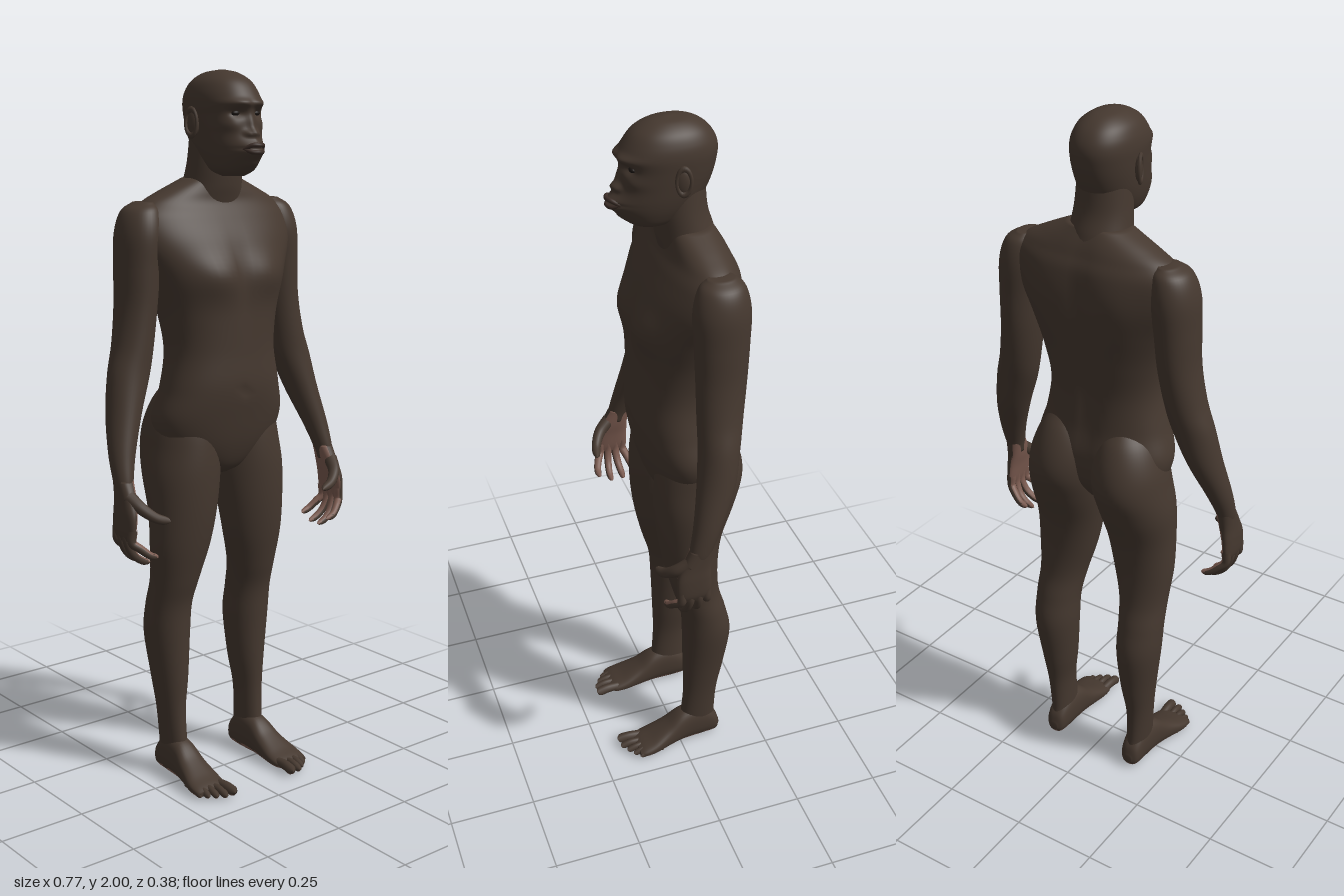
import * as THREE from 'three';

const skin = new THREE.MeshStandardMaterial({ color: 0x45382f });
skin.name = 'skin';
const palmSkin = new THREE.MeshStandardMaterial({ color: 0x7a5a4f });
palmSkin.name = 'palm and sole skin';
const eyeDark = new THREE.MeshStandardMaterial({ color: 0x1c1613 });
eyeDark.name = 'dark eye';
const lipSkin = new THREE.MeshStandardMaterial({ color: 0x3b2d27 });
lipSkin.name = 'lip';

// Smooth loft along y or z; row = [position, centre x, half width, low edge, high edge]
function loft(rows, { axis = 'y', power = 2, steps = 48, sides = 40 } = {}) {
  const a = new THREE.CatmullRomCurve3(rows.map(r => new THREE.Vector3(r[0], r[1], r[2])), false, 'catmullrom', 0.5);
  const b = new THREE.CatmullRomCurve3(rows.map(r => new THREE.Vector3(r[3], r[4], 0)), false, 'catmullrom', 0.5);
  const pos = [], index = [];
  const bend = v => Math.sign(v) * Math.abs(v) ** (2 / power);
  for (let i = -1; i <= steps + 1; i++) {
    const t = Math.min(Math.max(i / steps, 0), 1);
    const k = i < 0 || i > steps ? 0 : 1; // collapsed end rings close the shape
    const p = a.getPoint(t), q = b.getPoint(t);
    for (let j = 0; j < sides; j++) {
      const w = (j / sides) * Math.PI * 2;
      const x = p.y + k * p.z * bend(Math.cos(w));
      const v = (q.x + q.y) / 2 + (k * (q.y - q.x) / 2) * bend(Math.sin(w));
      pos.push(...(axis === 'y' ? [x, p.x, v] : [x, v, p.x]));
    }
  }
  for (let i = 0; i < steps + 2; i++) for (let j = 0; j < sides; j++) {
    const m = i * sides + j, n = i * sides + ((j + 1) % sides), o = m + sides, r = n + sides;
    if (axis === 'z') index.push(m, n, r, m, r, o);
    else index.push(m, r, n, m, o, r);
  }
  const geo = new THREE.BufferGeometry();
  geo.setAttribute('position', new THREE.Float32BufferAttribute(pos, 3));
  geo.setIndex(index);
  geo.computeVertexNormals();
  return geo;
}

// Push a front (+1) or back (-1) surface out by soft mirrored bumps [x, y, spread x, spread y, height]
function sculpt(geo, side, start, bumps) {
  const p = geo.attributes.position;
  for (let i = 0; i < p.count; i++) {
    const x = Math.abs(p.getX(i)), y = p.getY(i), z = p.getZ(i);
    const weight = THREE.MathUtils.smoothstep(side * z, start, start + 0.06);
    let d = 0;
    for (const [bx, by, sx, sy, h] of bumps) d += h * Math.exp(-(((x - bx) / sx) ** 2) - ((y - by) / sy) ** 2);
    p.setZ(i, z + side * d * weight);
  }
  geo.computeVertexNormals();
  return geo;
}

// Tapered finger or toe with a rounded tip
function digit(points, r0, r1) {
  const curve = new THREE.CatmullRomCurve3(points.map(p => new THREE.Vector3(...p)));
  const steps = 20, sides = 12, geo = new THREE.TubeGeometry(curve, steps, 1, sides, false);
  const p = geo.attributes.position, v = new THREE.Vector3();
  for (let i = 0; i <= steps; i++) {
    const t = i / steps, c = curve.getPointAt(t);
    const tip = t > 0.8 ? Math.sqrt(Math.max(0, 1 - ((t - 0.8) / 0.2) ** 2)) : 1;
    for (let j = 0; j <= sides; j++) {
      const k = i * (sides + 1) + j;
      v.fromBufferAttribute(p, k).sub(c).multiplyScalar((r0 + (r1 - r0) * t) * tip).add(c);
      p.setXYZ(k, v.x, v.y, v.z);
    }
  }
  return geo;
}

// Split faces into two material groups by their normal
function twoTone(geo, test) {
  const p = geo.attributes.position, lists = [[], []], src = geo.index.array;
  const tri = new THREE.Triangle(), n = new THREE.Vector3();
  for (let i = 0; i < src.length; i += 3) {
    tri.setFromAttributeAndIndices(p, src[i], src[i + 1], src[i + 2]);
    tri.getNormal(n);
    lists[test(n) ? 1 : 0].push(src[i], src[i + 1], src[i + 2]);
  }
  geo.setIndex([...lists[0], ...lists[1]]);
  geo.addGroup(0, lists[0].length, 0);
  geo.addGroup(lists[0].length, lists[1].length, 1);
  return geo;
}

function mirrored(geo) {
  const g = geo.clone().scale(-1, 1, 1), ix = g.index.array;
  for (let i = 0; i < ix.length; i += 3) [ix[i + 1], ix[i + 2]] = [ix[i + 2], ix[i + 1]];
  return g;
}

export function createModel() {
  const model = new THREE.Group();
  model.name = 'figure';
  const add = (name, geo, mat = skin) => {
    const m = new THREE.Mesh(geo, mat);
    m.name = name;
    model.add(m);
  };
  const pair = (name, geo, mat = skin) => {
    add('left' + name, geo, mat);
    add('right' + name, mirrored(geo), mat);
  };

  // Torso with chest, spine groove and shoulder blades
  const torso = loft([
    [0.895, 0, 0.03, -0.07, 0], [0.92, 0, 0.09, -0.1, 0.035], [0.98, 0, 0.175, -0.14, 0.062],
    [1.06, 0, 0.207, -0.15, 0.082], [1.15, 0, 0.185, -0.138, 0.097], [1.25, 0, 0.167, -0.138, 0.095],
    [1.35, 0, 0.18, -0.155, 0.095], [1.45, 0, 0.212, -0.172, 0.095], [1.54, 0, 0.25, -0.175, 0.07],
    [1.61, 0, 0.255, -0.168, 0.035], [1.65, 0, 0.222, -0.153, 0.012], [1.68, 0, 0.165, -0.14, 0.005],
    [1.715, 0, 0.085, -0.12, 0.0],
  ], { power: 2.2, steps: 80, sides: 64 });
  sculpt(torso, 1, 0, [[0.09, 1.46, 0.07, 0.055, 0.016], [0, 1.45, 0.02, 0.1, -0.006], [0, 1.14, 0.012, 0.012, -0.006]]);
  sculpt(torso, -1, 0.03, [[0, 1.36, 0.03, 0.25, -0.016], [0.11, 1.54, 0.06, 0.08, 0.008]]);
  add('torso', torso);
  add('neck', loft([
    [1.6, 0, 0.1, -0.15, 0.0], [1.66, 0, 0.094, -0.14, 0.015], [1.7, 0, 0.085, -0.13, 0.024],
    [1.76, 0, 0.078, -0.112, 0.03], [1.85, 0, 0.07, -0.105, 0.03],
  ]));

  // Head with brow, sockets, cheeks, nose, muzzle and mouth line
  const head = loft([
    [1.722, 0, 0.03, 0.01, 0.07], [1.737, 0, 0.055, -0.035, 0.098], [1.765, 0, 0.069, -0.075, 0.117],
    [1.8, 0, 0.078, -0.103, 0.122], [1.84, 0, 0.083, -0.122, 0.118], [1.88, 0, 0.086, -0.133, 0.115],
    [1.915, 0, 0.087, -0.137, 0.117], [1.945, 0, 0.081, -0.128, 0.102], [1.972, 0, 0.066, -0.106, 0.078],
    [1.992, 0, 0.038, -0.07, 0.04], [2.0, 0, 0.006, -0.02, 0],
  ], { power: 2.15, steps: 110, sides: 110 });
  sculpt(head, 1, 0.01, [
    [0.03, 1.912, 0.034, 0.011, 0.012], [0.034, 1.886, 0.018, 0.012, -0.014], [0.055, 1.855, 0.02, 0.016, 0.006],
    [0, 1.85, 0.01, 0.03, 0.01], [0, 1.835, 0.015, 0.011, 0.012], [0.017, 1.833, 0.008, 0.008, 0.009],
    [0, 1.792, 0.042, 0.026, 0.032], [0, 1.795, 0.034, 0.004, -0.009], [0, 1.752, 0.025, 0.012, 0.007],
  ]);
  add('head', head);
  const lip = (y, z) => new THREE.TubeGeometry(new THREE.CatmullRomCurve3([
    [-0.031, 1.794, z - 0.027], [-0.016, y, z - 0.006], [0, y, z], [0.016, y, z - 0.006], [0.031, 1.794, z - 0.027],
  ].map(p => new THREE.Vector3(...p))), 24, 0.006, 10);
  add('upperLip', lip(1.804, 0.15), lipSkin);
  add('lowerLip', lip(1.786, 0.149), lipSkin);
  pair('Eye', new THREE.SphereGeometry(0.0115, 20, 14).scale(1.15, 0.65, 0.8).translate(0.034, 1.886, 0.092), eyeDark);
  pair('Ear', new THREE.SphereGeometry(1, 20, 14).scale(0.009, 0.034, 0.019).rotateY(-0.35).translate(0.089, 1.86, -0.018));
  pair('EarRim', new THREE.TorusGeometry(0.02, 0.005, 8, 24).scale(0.9, 1.7, 1)
    .rotateY(Math.PI / 2 - 0.35).translate(0.095, 1.862, -0.02));

  // Arms
  pair('Arm', loft([
    [0.89, 0.359, 0.02, 0, 0.055], [0.93, 0.357, 0.026, -0.014, 0.05], [1.0, 0.344, 0.036, -0.045, 0.035],
    [1.1, 0.316, 0.048, -0.087, 0.017], [1.2, 0.287, 0.059, -0.107, 0.004], [1.28, 0.266, 0.056, -0.122, 0.001],
    [1.38, 0.25, 0.055, -0.136, 0], [1.48, 0.243, 0.058, -0.143, 0.003], [1.57, 0.235, 0.062, -0.147, 0.005],
    [1.63, 0.226, 0.051, -0.135, -0.012], [1.655, 0.216, 0.025, -0.11, -0.04],
  ], { steps: 70 }));

  // Hands: the palm side faces the body
  const hand = [skin, palmSkin], inner = n => n.x < -0.35;
  pair('Palm', twoTone(loft([
    [0.772, 0.372, 0.008, 0.008, 0.08], [0.795, 0.372, 0.014, -0.005, 0.09], [0.84, 0.368, 0.018, -0.006, 0.09],
    [0.88, 0.362, 0.021, -0.006, 0.075], [0.93, 0.357, 0.024, -0.012, 0.049],
  ], { power: 2.4 }), inner), hand);
  [[0.078, 0.1, 0.725], [0.054, 0.062, 0.702], [0.03, 0.025, 0.703], [0.007, -0.008, 0.722]].forEach(([z0, z1, y], i) => {
    pair('Finger' + (i + 1), twoTone(digit([
      [0.37, 0.805, z0], [0.371, 0.77, z0], [0.355, y + 0.03, (z0 + z1) / 2], [0.328, y + 0.008, z1], [0.302, y, z1],
    ], 0.0135, 0.0095), n => n.x < -0.3 || (n.y > 0.5 && n.x < 0.3)), hand);
  });
  pair('Thumb', digit([
    [0.362, 0.89, 0.05], [0.345, 0.862, 0.085], [0.312, 0.835, 0.107], [0.272, 0.822, 0.116],
  ], 0.02, 0.011));

  // Legs, rising into the buttocks
  pair('Leg', loft([
    [0.06, 0.138, 0.03, -0.118, -0.005], [0.1, 0.14, 0.032, -0.115, -0.008], [0.2, 0.143, 0.037, -0.12, -0.015],
    [0.3, 0.142, 0.05, -0.138, -0.013], [0.43, 0.145, 0.064, -0.154, -0.01], [0.52, 0.145, 0.067, -0.137, -0.004],
    [0.6, 0.139, 0.073, -0.116, 0.018], [0.7, 0.13, 0.09, -0.112, 0.042], [0.8, 0.121, 0.1, -0.126, 0.057],
    [0.9, 0.114, 0.109, -0.163, 0.063], [0.98, 0.106, 0.107, -0.189, 0.06], [1.05, 0.1, 0.1, -0.182, 0.05],
    [1.12, 0.095, 0.075, -0.15, 0.03], [1.17, 0.092, 0.03, -0.1, 0],
  ], { steps: 80, sides: 48 }));

  // Feet with pale soles
  const sole = n => n.y < -0.45;
  pair('Foot', twoTone(loft([
    [-0.13, 0.138, 0.012, 0.018, 0.042], [-0.115, 0.138, 0.029, 0.004, 0.08], [-0.07, 0.138, 0.036, 0, 0.12],
    [-0.01, 0.14, 0.039, 0, 0.112], [0.04, 0.143, 0.046, 0, 0.076], [0.09, 0.147, 0.054, 0, 0.048],
    [0.125, 0.149, 0.053, 0.001, 0.034], [0.142, 0.15, 0.045, 0.008, 0.026],
  ], { axis: 'z', power: 2.4 }), sole), hand);
  [[0.108, 0.19, 0.015], [0.136, 0.188, 0.011], [0.158, 0.174, 0.0105], [0.177, 0.159, 0.01], [0.193, 0.143, 0.0095]]
    .forEach(([x, z, r], i) => {
      const xb = 0.15 + (x - 0.15) * 0.88;
      pair('Toe' + (i + 1), twoTone(digit([
        [xb, 0.02, z - 0.075], [(x + xb) / 2, 0.022, z - 0.035], [x, r + 0.001, z],
      ], r * 0.9, r), sole), hand);
    });
  return model;
}
